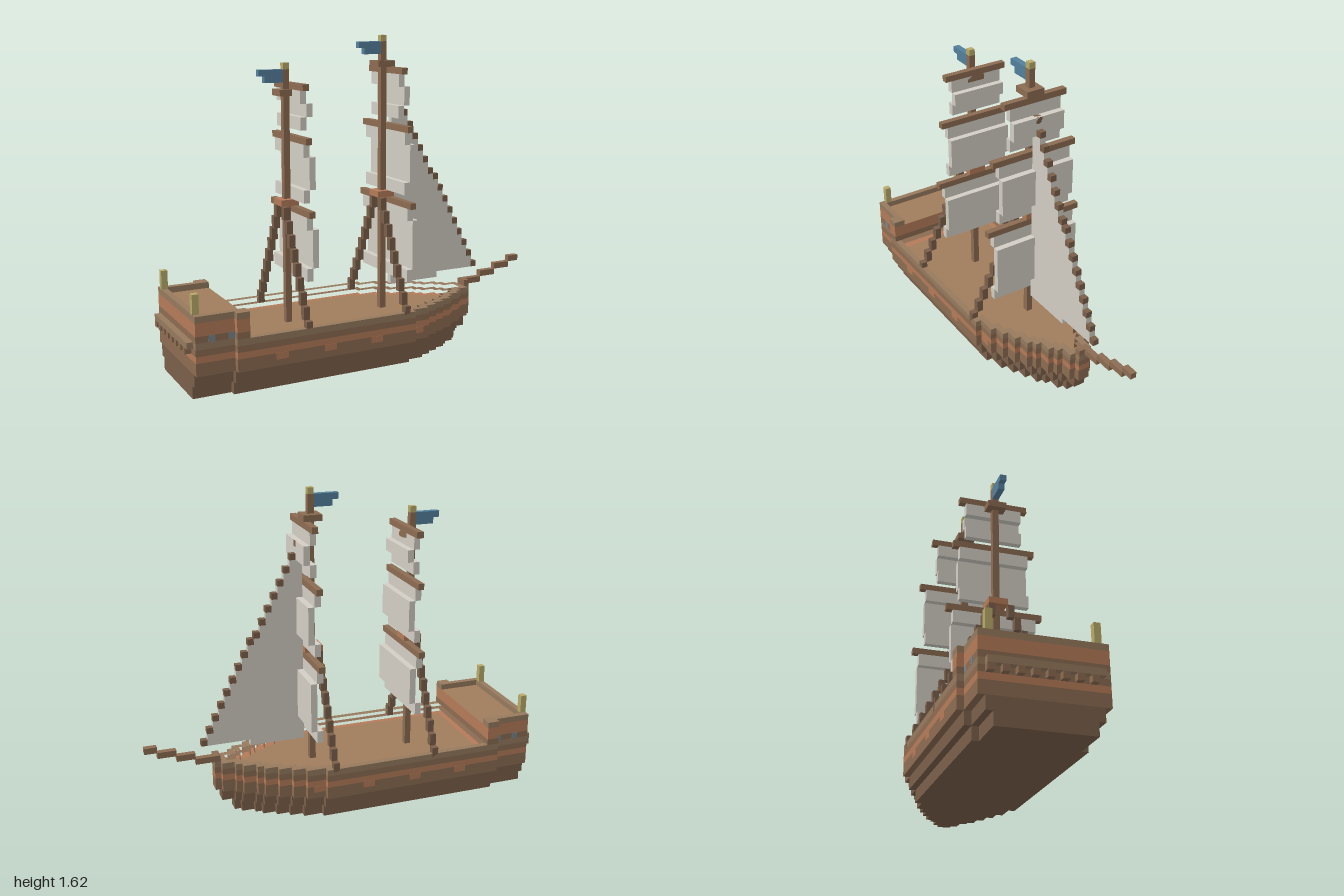
import * as THREE from 'three';

// Everything is laid out in blocks; 32 blocks make one unit.
const UNIT = 1 / 32;
const mat = (color) => new THREE.MeshStandardMaterial({ color, flatShading: true });
const M = {
  dark: mat(0x7a5f4a), wood: mat(0x8c6c52), pale: mat(0x967a5e), deck: mat(0xa07c5c), red: mat(0xb47a58),
  sail: mat(0xd2cec4), flag: mat(0x54809c), gold: mat(0xb8aa6a), glass: mat(0x76848c),
};

// Stepped hull plan: [x where the run ends, half width]
const RUNS = [[-25, 9], [5, 10], [8, 9], [10, 8], [12, 7], [14, 6], [15, 5], [17, 4], [18, 3], [20, 2], [21, 1]];

// Closed plan, narrowed by inset, with run ends pulled back by trim
function plan(inset, x0, x1 = 99, trim = 0) {
  const side = [];
  let start = x0;
  for (const [end, w] of RUNS) {
    const e = Math.min(end - trim, x1);
    if (e <= start || w - inset <= 0) continue;
    side.push([start, w - inset], [e, w - inset]);
    start = e;
  }
  const mirrored = side.map(([x, z]) => [x, -z]).reverse();
  return [...side, ...mirrored].map(([x, z]) => new THREE.Vector2(x, z));
}

export function createModel() {
  const root = new THREE.Group();
  const ship = new THREE.Group();
  ship.name = 'sailingShip';
  ship.scale.setScalar(UNIT);
  root.add(ship);

  // Box between two corners
  const box = (name, m, x0, x1, y0, y1, z0, z1, parent = ship) => {
    const mesh = new THREE.Mesh(new THREE.BoxGeometry(x1 - x0, y1 - y0, z1 - z0), m);
    mesh.position.set((x0 + x1) / 2, (y0 + y1) / 2, (z0 + z1) / 2);
    mesh.name = name;
    parent.add(mesh);
  };
  // Horizontal slab from a plan, optionally hollow
  const slab = (name, m, outer, y0, y1, hole) => {
    const shape = new THREE.Shape(outer);
    if (hole) shape.holes.push(new THREE.Path(hole));
    const geo = new THREE.ExtrudeGeometry(shape, { depth: y1 - y0, bevelEnabled: false });
    geo.rotateX(-Math.PI / 2);
    const mesh = new THREE.Mesh(geo, m);
    mesh.position.y = y0;
    mesh.name = name;
    ship.add(mesh);
  };

  // Hull strakes, widening upward
  slab('keelStrake', M.dark, plan(2, -31), 0, 2);
  slab('lowerStrake', M.dark, plan(1, -31), 2, 4);
  slab('middleStrake', M.wood, plan(0, -31), 4, 6);
  slab('redStrake', M.red, plan(0, -31), 6, 7);
  // Bulwark around the main deck
  const well = () => plan(1, -23, 99, 1);
  slab('lowerBulwark', M.wood, plan(0, -31), 7, 8, well());
  slab('upperBulwark', M.pale, plan(0, -31), 8, 9, well());
  slab('mainDeck', M.deck, plan(1, -23, 99, 1), 7, 7.04);

  // Stern castle with a railed deck
  slab('castleBase', M.wood, plan(0, -31, -23), 9, 10);
  slab('castleWall', M.red, plan(0, -31, -23), 10, 12);
  slab('castleDeck', M.deck, plan(1, -30, -23), 12, 12.04);
  for (const s of [-1, 1]) {
    const side = (name, m, x0, x1, y0, y1, a, b) =>
      box(name, m, x0, x1, y0, y1, Math.min(s * a, s * b), Math.max(s * a, s * b));
    side('castleRail', M.pale, -31, -25, 12, 13, 8, 9);
    side('castleRailEnd', M.pale, -25, -23, 12, 13, 8, 10);
    side('sternLantern', M.gold, -31, -30, 13, 16, 7, 8);
    for (const x of [-29, -26]) side('sideWindow', M.glass, x, x + 1, 9, 10, 8.9, 9.03);
    for (const x of [-19, -11, -3]) side('gunPort', M.red, x, x + 2, 5, 6, 9.9, 10.03);
    side('gunPort', M.red, 5, 7, 5, 6, 8.9, 9.03);
  }
  box('castleBackRail', M.pale, -31, -30, 12, 13, -8, 8);

  // Stern gallery: rail on spaced posts
  box('galleryRail', M.pale, -32, -31, 8, 9, -8, 8);
  for (let z = -8; z < 8; z += 2) box('galleryPost', M.wood, -32, -31, 7, 8, z, z + 1);

  // Rising stepped bowsprit
  [[20, 24], [24, 27], [27, 30], [30, 32]].forEach(([a, b], i) =>
    box('bowsprit', M.wood, a, b, 9 + i, 10 + i, -1, 0));
  box('stemHead', M.wood, 20, 21, 9, 10, 0, 1);

  // Square sail: bottom, bulge start, bulge end, yard level, half widths
  const squareSail = (g, x, [y0, y1, y2, yard, w, yardW]) => {
    const c = -0.5;
    box('yard', M.wood, x, x + 1, yard, yard + 1, c - yardW, c + yardW, g);
    box('sailFoot', M.sail, x, x + 1, y0, y1, c - w, c + w, g);
    box('sailBelly', M.sail, x + 1, x + 2, y1, y2, c - w, c + w, g);
    box('sailHead', M.sail, x, x + 1, y2, yard, c - w, c + w, g);
  };

  // Complete mast with top, shrouds, sails and flag
  const mast = (name, x, top, cross, sails) => {
    const g = new THREE.Group();
    g.name = name;
    ship.add(g);
    box('mastPole', M.wood, x, x + 1, 7, top - 1, -1, 0, g);
    box('mastTip', M.gold, x, x + 1, top - 1, top, -1, 0, g);
    box('mastPlatform', M.red, x - 1, x + 2, 26, 27, -2, 1, g);
    box('crosstree', M.wood, x - 1, x + 2, cross, cross + 1, -2, 1, g);
    for (let k = 1; k <= 9; k++)
      for (const z of [k, -k - 1]) {
        const y = 8 + 2 * (9 - k);
        box('shroud', M.dark, x - 1, x, y, y + 2.02, z, z + 1, g);
      }
    sails.forEach((s) => squareSail(g, x + 1, s));
    box('flagUpper', M.flag, x - 4, x, top - 2, top - 1, -1, 0, g);
    box('flagLower', M.flag, x - 3, x, top - 3, top - 2, -1, 0, g);
  };
  mast('foreMast', 4, 52, 47, [
    [13, 15, 23, 25, 7.5, 8.5], [27, 29, 35, 37, 6.5, 7.5], [39, 41, 44, 46, 4.5, 5.5]]);
  mast('aftMast', -13, 48, 43, [
    [15, 17, 23, 25, 6.5, 7.5], [27, 29, 34, 36, 5.5, 6.5], [38, 40, 42, 44, 4.5, 5.5]]);

  // Triangular headsail under a stepped stay
  const outline = [[6, 11]];
  for (let x = 6; x <= 22; x++) {
    const y = Math.round(43 - (31 * (x - 6)) / 16);
    box('forestay', M.dark, x, x + 1, y, y + 1, -1, 0);
    if (x < 22) outline.push([x, y], [x + 1, y]);
  }
  outline.push([22, 12], [15, 12], [15, 11]);
  const jib = new THREE.Mesh(
    new THREE.ExtrudeGeometry(new THREE.Shape(outline.map((p) => new THREE.Vector2(...p))),
      { depth: 1, bevelEnabled: false }), M.sail);
  jib.position.z = -1;
  jib.name = 'headsail';
  ship.add(jib);

  return root;
}
